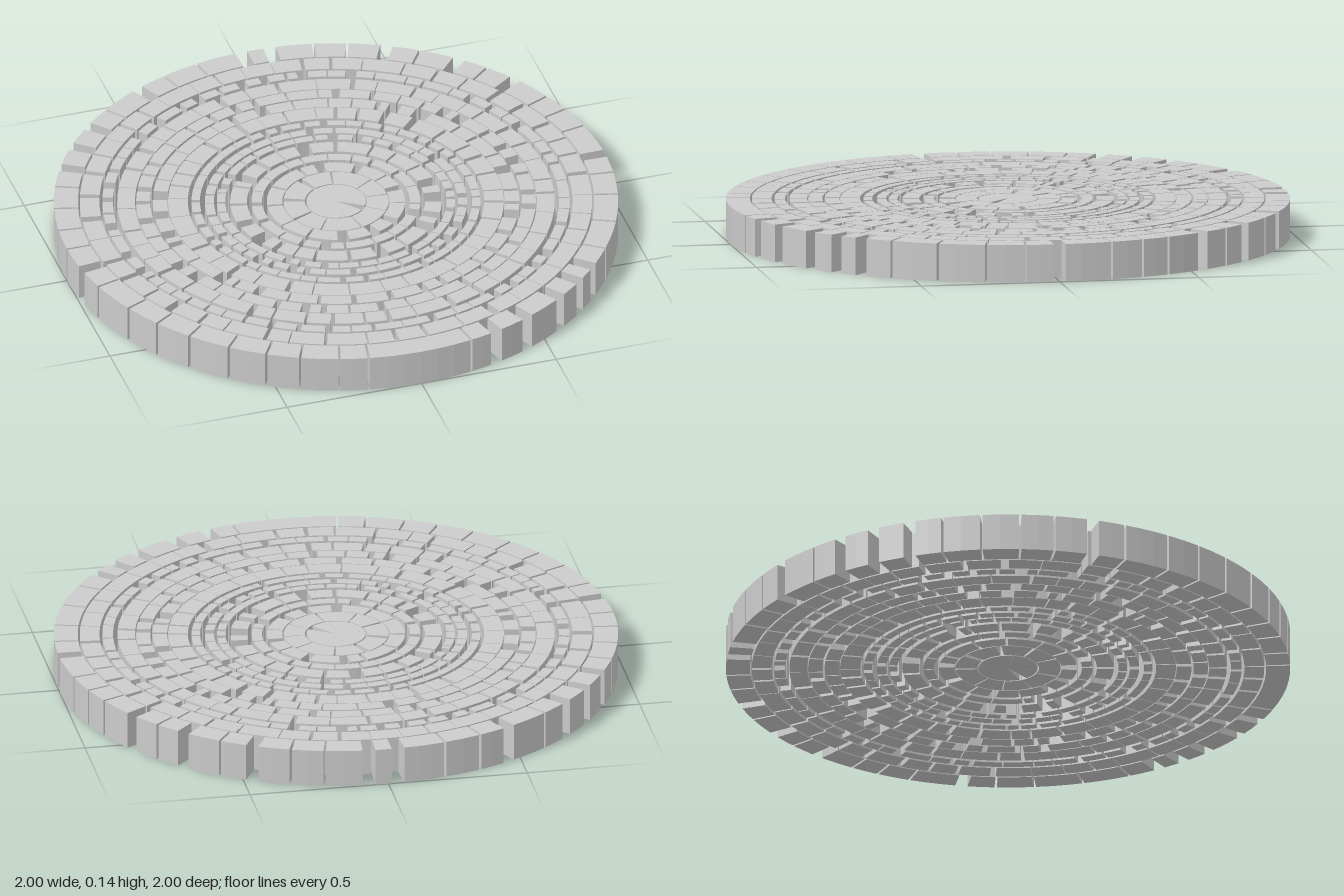
import * as THREE from 'three';
import { mergeGeometries } from 'three/addons/utils/BufferGeometryUtils.js';

const HEIGHT = 0.135;
const RAD = Math.PI / 180;

// Small seeded generator for the irregular paving
function seeded(seed) {
  return () => {
    seed = (seed * 1664525 + 1013904223) % 4294967296;
    return seed / 4294967296;
  };
}

// One paving stone: an annular sector, angles in degrees clockwise from -z
function stone(r0, r1, a0, a1) {
  const steps = Math.max(1, Math.ceil((a1 - a0) / 4));
  const at = (r, a) => new THREE.Vector2(r * Math.sin(a * RAD), r * Math.cos(a * RAD));
  const points = [];
  for (let i = 0; i <= steps; i++) points.push(at(r1, a0 + (a1 - a0) * i / steps));
  if (r0 === 0) points.push(new THREE.Vector2(0, 0));
  else for (let i = steps; i >= 0; i--) points.push(at(r0, a0 + (a1 - a0) * i / steps));
  const geo = new THREE.ExtrudeGeometry(new THREE.Shape(points), { depth: HEIGHT, bevelEnabled: false });
  return geo.rotateX(-Math.PI / 2);
}

// Joints of the rim: angle, and those that are wide
const rimJoints = [4, 13, 20, 28, 35, 43.5, 50, 57, 66, 72, 79, 90, 97, 105, 115, 125, 132, 138, 145, 155,
  163, 169, 191, 197, 205, 212, 220, 229, 237, 245, 255, 262, 270, 277, 285, 293, 300, 308, 316, 323, 333, 340, 348, 358];
const wideJoints = [4, 28, 43.5, 57, 90, 132, 138, 145, 155, 163, 262, 300, 308, 316, 333, 358];

// Inner courses: inner radius, outer radius, stone count, mean gap in degrees
const courses = [
  [0.838, 0.908, 46, 0.8],
  [0.79, 0.828, 58, 1.3],
  [0.712, 0.775, 42, 0.8],
  [0.658, 0.708, 42, 1.8],
  [0.598, 0.65, 38, 2.4],
  [0.525, 0.595, 36, 1.2],
  [0.482, 0.512, 44, 1.3],
  [0.432, 0.465, 38, 2.2],
  [0.392, 0.422, 36, 2.4],
  [0.315, 0.375, 22, 4],
  [0.262, 0.3, 20, 3.5],
  [0.19, 0.245, 13, 4.5],
  [0.11, 0.186, 9, 5],
];

export function createModel() {
  const model = new THREE.Group();
  model.name = 'roundPaving';
  const material = new THREE.MeshStandardMaterial({ color: 0xcccccc, flatShading: true });
  const add = (name, stones) => {
    const mesh = new THREE.Mesh(mergeGeometries(stones), material);
    mesh.name = name;
    model.add(mesh);
  };

  // Rim stones
  const halfGap = (a) => (wideJoints.includes(a) ? 1.3 : 0.25);
  add('rimStones', rimJoints.map((a, i) => {
    const last = i === rimJoints.length - 1;
    const next = rimJoints[last ? 0 : i + 1];
    return stone(0.915, 1, a + halfGap(a), next + (last ? 360 : 0) - halfGap(next));
  }));

  // Concentric courses with uneven stones and joints
  const random = seeded(17);
  courses.forEach(([r0, r1, count, gap], index) => {
    const weights = Array.from({ length: count }, () => 0.7 + 0.6 * random());
    const total = weights.reduce((sum, w) => sum + w, 0);
    let angle = random() * 20;
    const stones = weights.map((w) => {
      const span = 360 * w / total;
      const joint = gap * (0.25 + 2.2 * random() ** 2);
      const start = angle;
      angle += span;
      return stone(r0, r1, start, start + Math.max(span - joint, span * 0.4));
    });
    add(`course${index + 1}`, stones);
  });

  // Hub disc in wedges, with one open wedge
  const wedges = [[138, 180], [180.6, 269], [269.6, 359.5], [360, 482]];
  add('hub', wedges.map(([a0, a1]) => stone(0, 0.105, a0, a1)));

  return model;
}
